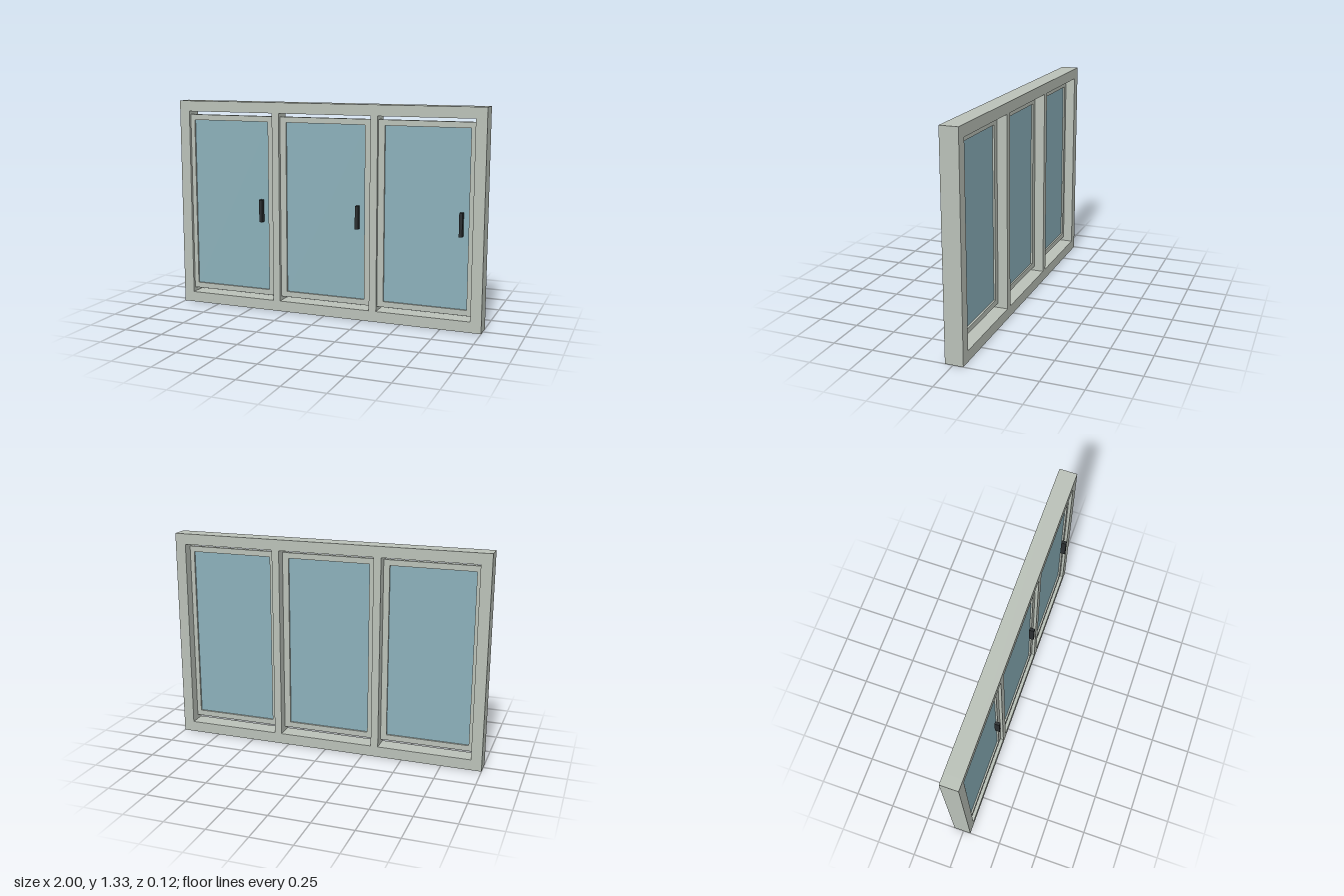
import * as THREE from 'three';

const frameMat = new THREE.MeshStandardMaterial({ name: 'greyGreenFrame', color: 0xbac1b8 });
const glassMat = new THREE.MeshStandardMaterial({ name: 'blueGlass', color: 0x8bb0ba });
const handleMat = new THREE.MeshStandardMaterial({ name: 'blackHandle', color: 0x2a2e30 });

// Box given by its limits on each axis
function box(parent, name, mat, [x0, x1], [y0, y1], [z0, z1]) {
  const mesh = new THREE.Mesh(new THREE.BoxGeometry(x1 - x0, y1 - y0, z1 - z0), mat);
  mesh.position.set((x0 + x1) / 2, (y0 + y1) / 2, (z0 + z1) / 2);
  mesh.name = name;
  parent.add(mesh);
}

// One sash: two stiles, two rails, a pane and a pull handle
function createSash() {
  const sash = new THREE.Group();
  sash.name = 'sash';
  const z = [0, 0.03], bottom = 0.095, top = 1.245, half = 0.3, stile = 0.04, rail = 0.035;
  const inner = half - stile;
  for (const s of [-1, 1]) {
    const xs = [s * inner, s * half].sort((a, b) => a - b);
    box(sash, 'stile', frameMat, xs, [bottom, top], z);
  }
  box(sash, 'bottomSashRail', frameMat, [-inner, inner], [bottom, bottom + rail], z);
  box(sash, 'topSashRail', frameMat, [-inner, inner], [top - rail, top], z);
  box(sash, 'pane', glassMat, [-inner, inner], [bottom + rail, top - rail], [0.011, 0.019]);
  box(sash, 'handle', handleMat, [0.209, 0.229], [0.575, 0.718], [0.03, 0.0615]);
  return sash;
}

export function createModel() {
  const model = new THREE.Group();
  model.name = 'slidingWindow';
  const depth = [-0.0615, 0.0485], height = 1.333, w = 0.067;

  // Outer frame
  box(model, 'rightJamb', frameMat, [-1, -1 + w], [0, height], depth);
  box(model, 'leftJamb', frameMat, [1 - w, 1], [0, height], depth);
  box(model, 'sill', frameMat, [-1 + w, 1 - w], [0, w], depth);
  box(model, 'head', frameMat, [-1 + w, 1 - w], [height - w, height], depth);

  // Mullions between the bays
  for (const x of [-0.325, 0.322]) {
    box(model, 'mullion', frameMat, [x - 0.023, x + 0.023], [w, height - w], depth);
  }

  // Three equal sashes; the outer ones are let into the jambs
  for (const i of [-1, 0, 1]) {
    const sash = createSash();
    sash.position.x = i * 0.645;
    model.add(sash);
  }
  return model;
}
